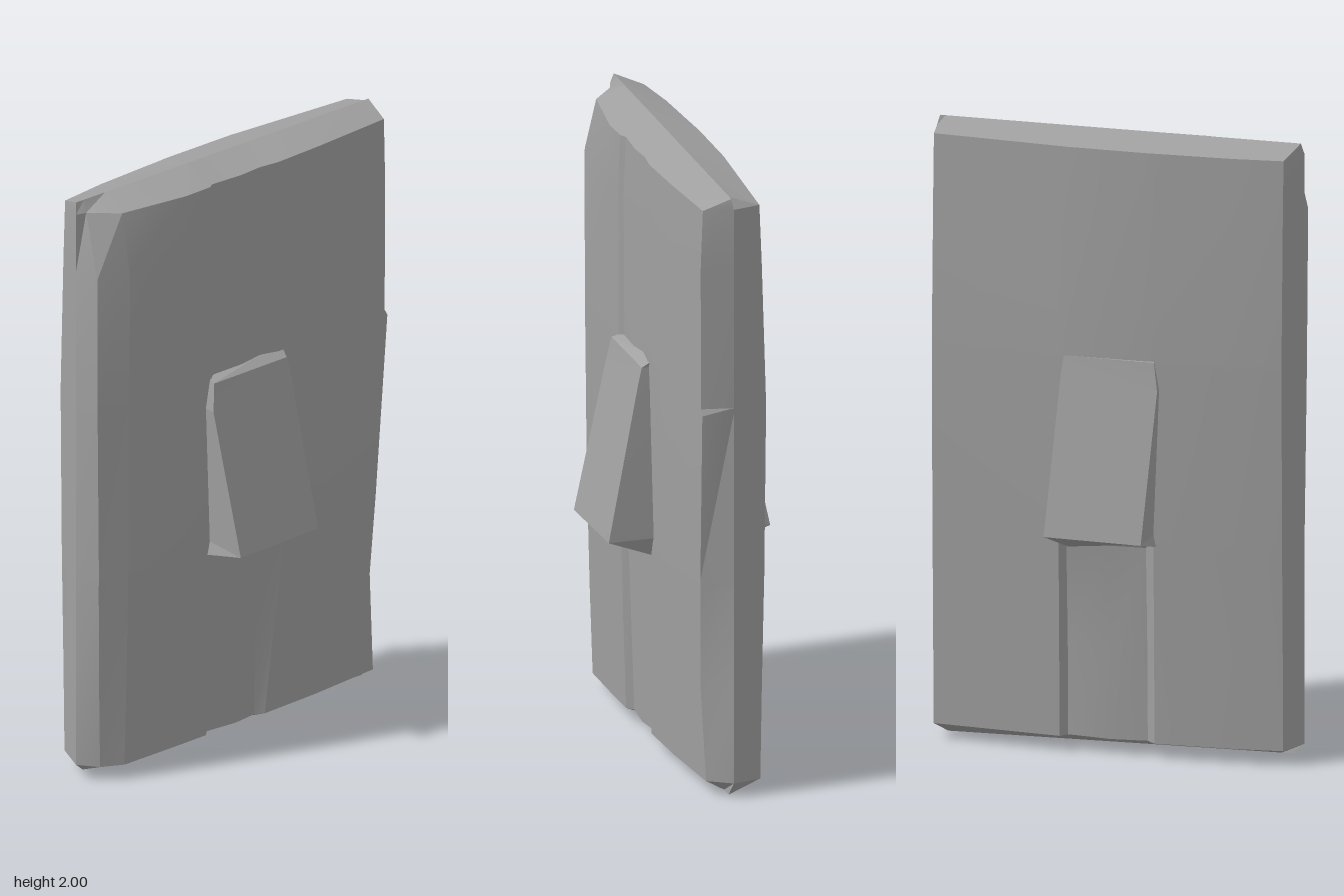
import * as THREE from 'three';
import { toCreasedNormals } from 'three/addons/utils/BufferGeometryUtils.js';

// Skin a stack of equal-length point rings, listed from bottom to top
function loft(rings, crease) {
  const n = rings[0].length, index = [];
  for (let j = 0; j < rings.length - 1; j++) {
    for (let i = 0; i < n; i++) {
      const k = (i + 1) % n, a = j * n + i, b = j * n + k;
      index.push(a, b, b + n, a, b + n, a + n);
    }
  }
  const g = new THREE.BufferGeometry();
  g.setAttribute('position', new THREE.Float32BufferAttribute(rings.flat(2), 3));
  g.setIndex(index);
  return toCreasedNormals(g, crease);
}

// One horizontal section of the slab: front left to right, edge, back, edge
function slabRing(y, s) {
  const { f, b, groove, backGroove, right, left, ridge = 0.598, chip = 0 } = s;
  return [
    [left, y, f - 0.035 - chip], [-0.48, y, f - chip * 0.45], [-0.25, y, f],
    [-0.15, y, f - 0.002], [-0.13, y, f - groove],
    [-0.02, y, f - groove * 0.55], [0.06, y, f - groove], [s.grooveEnd, y, f - 0.006],
    [0.3, y, f - 0.014], [right, y, f - 0.035],
    [ridge, y, -0.005],
    [0.58, y, -b + 0.03], [0.16, y, -b + 0.002], [0.14, y, -b + backGroove],
    [0, y, -b + backGroove * 0.5], [-0.12, y, -b + backGroove], [-0.15, y, -b + 0.002],
    [-0.4, y, -b + 0.015], [-0.56, y, -b + 0.035],
    [-ridge, y, 0.01],
  ];
}

// Worn slab with shallow grooves and ridged edges
function slabGeometry() {
  const low = slabRing(0.05, { f: 0.105, b: 0.128, groove: 0.022, backGroove: 0.028, right: 0.55, left: -0.55, grooveEnd: 0.09 });
  const high = slabRing(1.96, { f: 0.125, b: 0.125, groove: 0.014, backGroove: 0, right: 0.578, left: -0.565, grooveEnd: 0.13, chip: 0.07 });
  // Close each end along a ridge line
  const ridgeLine = (ring, y, slope, scale) => ring.map(([x]) => [x * scale, y - x * slope, 0]);
  return loft([
    ridgeLine(low, 0.01, 0.015, 0.94),
    low,
    slabRing(0.35, { f: 0.115, b: 0.133, groove: 0.022, backGroove: 0.028, right: 0.525, left: -0.562, grooveEnd: 0.12 }),
    slabRing(0.68, { f: 0.123, b: 0.14, groove: 0.018, backGroove: 0.02, right: 0.548, left: -0.57, grooveEnd: 0.16 }),
    slabRing(0.72, { f: 0.124, b: 0.141, groove: 0.018, backGroove: 0, right: 0.55, left: -0.57, grooveEnd: 0.16 }),
    slabRing(1.28, { f: 0.13, b: 0.147, groove: 0.014, backGroove: 0, right: 0.588, left: -0.58, grooveEnd: 0.13 }),
    slabRing(1.3, { f: 0.13, b: 0.147, groove: 0.014, backGroove: 0, right: 0.577, left: -0.58, grooveEnd: 0.13 }),
    slabRing(1.76, { f: 0.132, b: 0.133, groove: 0.014, backGroove: 0, right: 0.577, left: -0.583, grooveEnd: 0.11 }),
    high,
    ridgeLine(high, 1.995, 0.002, 0.985),
  ], 0.3);
}

// Twisted wedge that flares out towards its lower lip
function wedgeGeometry() {
  const ring = (l, r) => [l, r, [r[0], r[1], 0], [l[0], l[1], 0]];
  return loft([
    ring([-0.16, 0.68, 0.1], [0.13, 0.655, 0.1]),
    ring([-0.15, 0.73, 0.275], [0.17, 0.73, 0.265]),
    ring([-0.17, 1.2, 0.165], [0.145, 1.24, 0.16]),
    ring([-0.155, 1.29, 0.15], [0.14, 1.29, 0.147]),
    ring([-0.15, 1.305, 0.1], [0.15, 1.322, 0.1]),
  ], 0.2);
}

export function createModel() {
  const group = new THREE.Group();
  const stone = new THREE.MeshStandardMaterial({ color: 0xa0a0a0 });
  stone.name = 'grey';

  const slab = new THREE.Mesh(slabGeometry(), stone);
  slab.name = 'slab';
  group.add(slab);

  // Matching wedges on the two faces
  for (const [name, side] of [['frontWedge', 1], ['backWedge', -1]]) {
    const wedge = new THREE.Mesh(wedgeGeometry(), stone);
    wedge.name = name;
    wedge.scale.z = side;
    group.add(wedge);
  }
  return group;
}
